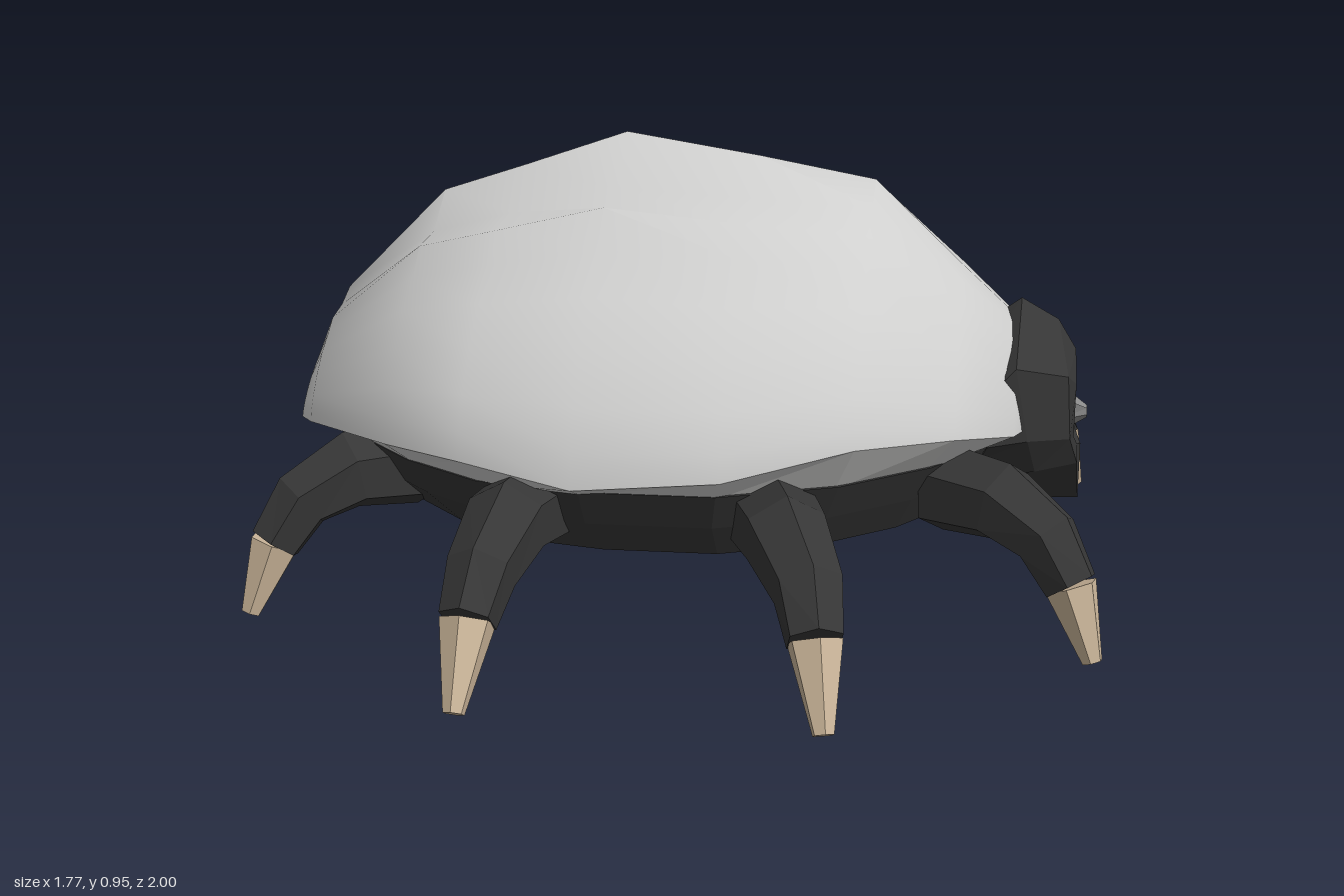
import * as THREE from 'three';
import { toCreasedNormals } from 'three/addons/utils/BufferGeometryUtils.js';

const mat = (name, color) => new THREE.MeshStandardMaterial({ name, color, side: THREE.DoubleSide });

// Skin between rings of [x, y, z] points, with optional fan caps at the ends
function loft(rings, capStart, capEnd, crease = 0.01) {
  const n = rings[0].length, pos = rings.flat(2), idx = [];
  for (let i = 0; i < rings.length - 1; i++) {
    for (let j = 0; j < n; j++) {
      const a = i * n + j, b = i * n + (j + 1) % n;
      idx.push(a, b, a + n, b, b + n, a + n);
    }
  }
  const cap = (ring, base, flip) => {
    const c = pos.length / 3;
    for (let k = 0; k < 3; k++) pos.push(ring.reduce((s, p) => s + p[k], 0) / n);
    for (let j = 0; j < n; j++) {
      const a = base + j, b = base + (j + 1) % n;
      if (flip) idx.push(c, b, a); else idx.push(c, a, b);
    }
  };
  if (capStart) cap(rings[0], 0, true);
  if (capEnd) cap(rings[rings.length - 1], (rings.length - 1) * n, false);
  const g = new THREE.BufferGeometry();
  g.setAttribute('position', new THREE.Float32BufferAttribute(pos, 3));
  g.setIndex(idx);
  return toCreasedNormals(g, crease);
}

// Shell stations from tail to head: x, half width, top, rim height, roughness
const STATIONS = [
  [-0.88, 0.06, 0.37, 0.33, 0], [-0.84, 0.22, 0.46, 0.34, 0.3], [-0.79, 0.31, 0.58, 0.36, 0.6],
  [-0.56, 0.53, 0.81, 0.395, 1], [-0.38, 0.64, 0.87, 0.405, 1], [-0.15, 0.68, 0.95, 0.37, 1],
  [0.14, 0.67, 0.905, 0.395, 0.7], [0.39, 0.57, 0.86, 0.44, 0.4], [0.58, 0.42, 0.68, 0.42, 0.15],
  [0.7, 0.26, 0.57, 0.38, 0], [0.75, 0.1, 0.45, 0.36, 0],
];
// Lopsided ridged section: fraction of half width, fraction of height
const SECTION = [
  [1, 0], [0.98, 0.12], [0.92, 0.26], [0.82, 0.42], [0.69, 0.57], [0.53, 0.69], [0.42, 0.815], [0.2, 0.83], [0, 1],
  [-0.29, 0.85], [-0.45, 0.68], [-0.56, 0.6], [-0.69, 0.55], [-0.82, 0.45], [-0.93, 0.25], [-1, 0],
];

// Plan outline of the rim, scaled about its centre and shifted along x
function outline(scale, y, dx = 0) {
  const side = (s) => STATIONS.map(([x, w, , rim]) =>
    [-0.06 + dx + (x + 0.06) * scale, y ?? rim, s * w * scale]);
  return [...side(1), ...side(-1).reverse()];
}

// Bent six-sided limb section: rings around a path, facing along it
function limb(points, radii) {
  const v = points.map((p) => new THREE.Vector3(...p));
  const rings = v.map((p, i) => {
    const dir = v[Math.min(i + 1, v.length - 1)].clone().sub(v[Math.max(i - 1, 0)]).normalize();
    const side = new THREE.Vector3(0, 1, 0).cross(dir).normalize();
    const up = dir.clone().cross(side);
    return Array.from({ length: 6 }, (_, k) => {
      const a = (k + 0.5) * Math.PI / 3;
      return p.clone().addScaledVector(side, Math.cos(a) * radii[i])
        .addScaledVector(up, Math.sin(a) * radii[i]).toArray();
    });
  });
  return loft(rings, true, true);
}

// Mirror a half contour of [x, y, z] across z = 0 (first and last lie on the axis)
const mirrored = (half) => [...half, ...half.slice(1, -1).reverse().map(([x, y, z]) => [x, y, -z])];

export function createModel() {
  const model = new THREE.Group();
  const stone = mat('stoneGrey', 0xcfcfce);
  const dark = mat('charcoal', 0x363636);
  const tan = mat('clawTan', 0xcbb69a);
  const faceGrey = mat('faceGrey', 0xacacaa);
  const mid = mat('midGrey', 0x8a8a8a);
  const add = (name, geo, m, parent = model) => {
    const mesh = new THREE.Mesh(geo, m);
    mesh.name = name;
    parent.add(mesh);
    return mesh;
  };

  // Domed shell, open below
  const rings = STATIONS.map(([x, w, top, rim, rough]) => SECTION.map(([f, h]) => {
    const smooth = Math.pow(1 - f * f, 0.85);
    return [x, rim + (top - rim) * (smooth + (h - smooth) * rough), f * w];
  }));
  add('shell', loft(rings, true, true, 0.7), stone);

  // Underside lip of the shell and the dark belly
  add('shellLip', loft([outline(1), outline(0.91, 0.34)], false, false), stone);
  add('belly', loft([outline(0.93, 0.35), outline(0.87, 0.27), outline(0.79, 0.195, 0.02),
    outline(0.38, 0.122, 0.12)], true, true), dark);

  // Hooded head with a recessed face
  const head = new THREE.Group();
  head.name = 'head';
  model.add(head);
  const opening = [[0.83, 0.5, 0], [0.83, 0.45, 0.1], [0.83, 0.33, 0.09], [0.84, 0.3, 0.05], [0.85, 0.285, 0]];
  const recess = opening.map(([, y, z]) => [0.79, y, z]);
  add('hood', loft([
    [[0.56, 0.5, 0], [0.56, 0.42, 0.2], [0.52, 0.33, 0.27], [0.5, 0.24, 0.19], [0.5, 0.165, 0]],
    [[0.71, 0.61, 0], [0.7, 0.51, 0.21], [0.73, 0.35, 0.2], [0.75, 0.26, 0.13], [0.78, 0.155, 0]],
    [[0.79, 0.565, 0], [0.81, 0.48, 0.15], [0.82, 0.34, 0.14], [0.84, 0.27, 0.09], [0.85, 0.16, 0]],
    opening, recess,
  ].map(mirrored), true, false), dark, head);
  add('face', loft([recess, recess.map(([, y, z]) => [0.795, 0.39 + (y - 0.39) * 0.85, z * 0.85])]
    .map(mirrored), false, true), faceGrey, head);
  add('muzzle', loft([
    [[0.79, 0.385, 0], [0.79, 0.41, 0.06], [0.79, 0.35, 0.05], [0.79, 0.3, 0]],
    [[0.86, 0.365, 0], [0.86, 0.37, 0.012], [0.86, 0.355, 0.012], [0.86, 0.345, 0]],
  ].map(mirrored), false, true), mid, head);
  for (const s of [1, -1]) {
    add('cheekPlate', new THREE.BoxGeometry(0.008, 0.03, 0.035), stone, head).position.set(0.8, 0.337, s * 0.066);
  }

  // Eight legs: hip, knee, shin, claw root, claw tip
  const paths = [
    [[-0.25, 0.28, 0.5], [-0.275, 0.3, 0.68], [-0.295, 0.25, 0.81], [-0.305, 0.18, 0.885], [-0.312, 0.035, 0.98]],
    [[0.22, 0.28, 0.5], [0.27, 0.3, 0.68], [0.325, 0.25, 0.81], [0.345, 0.18, 0.885], [0.37, 0.035, 0.97]],
    [[-0.56, 0.28, 0.3], [-0.68, 0.285, 0.39], [-0.77, 0.235, 0.45], [-0.82, 0.15, 0.485], [-0.868, 0.006, 0.525]],
    [[0.56, 0.28, 0.3], [0.68, 0.285, 0.39], [0.77, 0.235, 0.45], [0.82, 0.15, 0.485], [0.868, 0.006, 0.525]],
  ];
  for (const s of [1, -1]) {
    paths.forEach((path, i) => {
      const leg = new THREE.Group();
      leg.name = `${s > 0 ? 'near' : 'far'}Leg${i + 1}`;
      model.add(leg);
      const p = path.map(([x, y, z]) => [x, y, z * s]);
      add('limb', limb(p.slice(0, 4), [0.096, 0.086, 0.07, 0.057]), dark, leg);
      // Claw is tan outside, with pale grey on the two faces turned to the body
      const claw = limb(p.slice(3), [0.055, 0.021]);
      claw.addGroup(0, 18, 0);
      claw.addGroup(18, 12, 1);
      claw.addGroup(30, Infinity, 0);
      add('claw', claw, [tan, stone], leg);
    });
  }
  return model;
}
